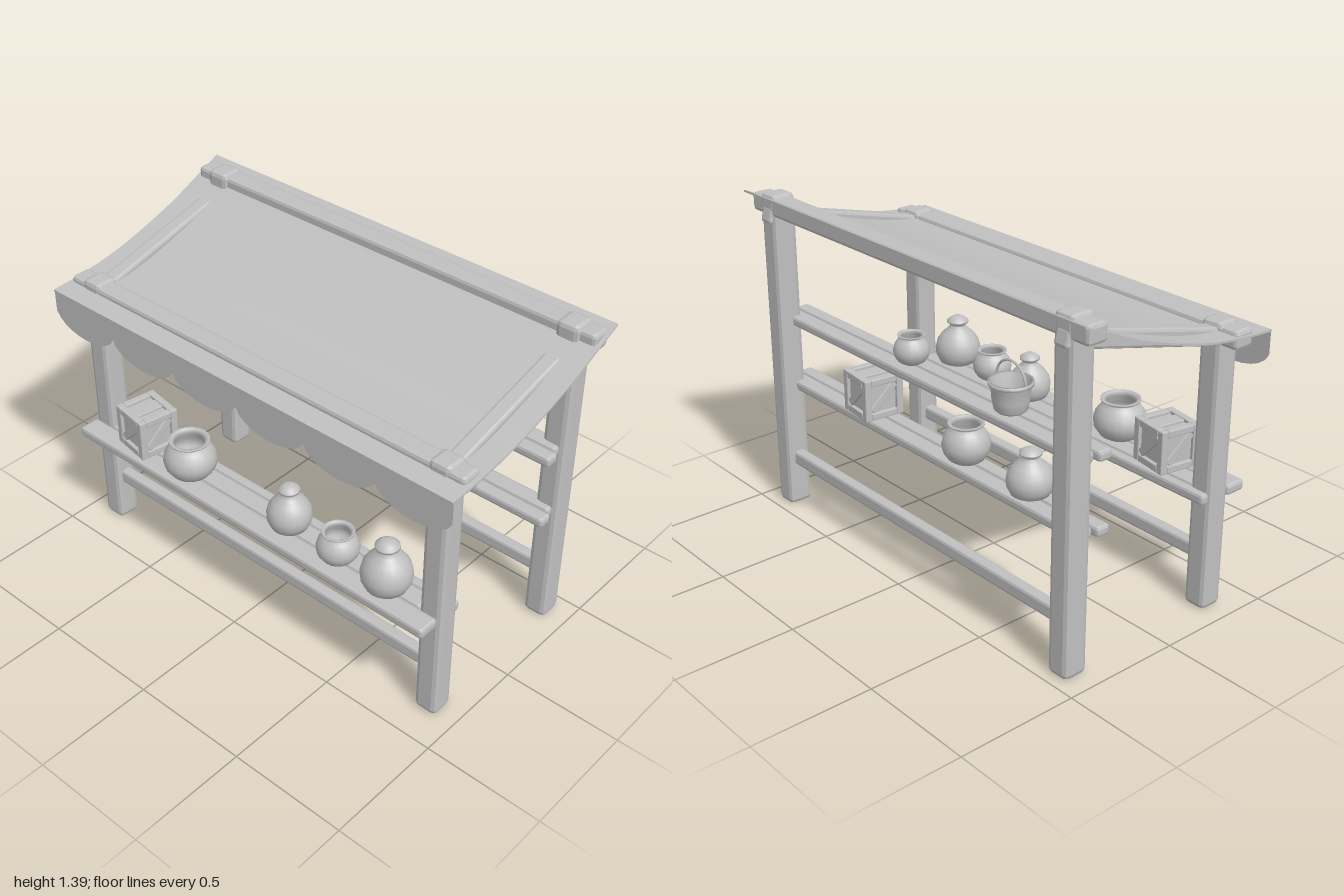
import * as THREE from 'three';
import { RoundedBoxGeometry } from 'three/addons/geometries/RoundedBoxGeometry.js';

const clay = new THREE.MeshStandardMaterial({ color: 0xc0c0c0 });
clay.name = 'plain grey';
const cloth = new THREE.MeshStandardMaterial({ color: 0xc0c0c0, side: THREE.DoubleSide });
cloth.name = 'grey cloth';

function add(parent, name, geometry, x = 0, y = 0, z = 0, material = clay) {
  const mesh = new THREE.Mesh(geometry, material);
  mesh.name = name;
  mesh.position.set(x, y, z);
  parent.add(mesh);
  return mesh;
}

// Timber with flat chamfered edges, given by its min/max extents
function timber(parent, name, [x0, x1], [y0, y1], [z0, z1], bevel = 0.012) {
  const geo = new RoundedBoxGeometry(x1 - x0, y1 - y0, z1 - z0, 1, bevel);
  geo.computeVertexNormals();
  return add(parent, name, geo, (x0 + x1) / 2, (y0 + y1) / 2, (z0 + z1) / 2);
}

// Turned vessel; the profile is given as fractions of radius and height
function turned(parent, name, profile, r, h, x, y, z) {
  const pts = profile.map(([a, b]) => new THREE.Vector2(a * r, b * h));
  return add(parent, name, new THREE.LatheGeometry(pts, 20), x, y, z, cloth);
}

const POT = [[0, 0], [0.5, 0], [0.74, 0.09], [0.94, 0.27], [1, 0.46], [0.92, 0.66], [0.74, 0.82],
  [0.6, 0.89], [0.62, 0.94], [0.75, 0.97], [0.75, 1], [0.62, 1], [0.53, 0.9], [0.8, 0.66], [0.85, 0.4], [0.5, 0.1], [0, 0.08]];
const JAR = [[0, 0], [0.55, 0], [0.82, 0.06], [0.97, 0.2], [1, 0.34], [0.92, 0.5], [0.7, 0.64], [0.44, 0.74],
  [0.34, 0.8], [0.34, 0.84], [0.47, 0.87], [0.47, 0.91], [0.33, 0.96], [0.18, 1], [0, 1]];
const BUCKET = [[0, 0], [0.62, 0], [0.74, 0.08], [0.83, 0.4], [0.88, 0.86], [1, 0.89], [1, 1], [0.86, 1], [0.76, 0.4], [0.62, 0.1], [0, 0.1]];

// Crate: recessed core, edge battens and a diagonal brace on each side
function crate(parent, name, s, x, y, z, turn) {
  const g = new THREE.Group();
  g.name = name;
  const h = s / 2, t = s * 0.17, e = h - t / 2;
  add(g, 'crateCore', new THREE.BoxGeometry(s * 0.84, s * 0.84, s * 0.84));
  for (const a of [-e, e]) for (const b of [-e, e]) {
    timber(g, 'crateUpright', [a - t / 2, a + t / 2], [-h, h], [b - t / 2, b + t / 2], 0.004);
    timber(g, 'crateRail', [-h + t, h - t], [a - t / 2, a + t / 2], [b - t / 2, b + t / 2], 0.004);
    timber(g, 'crateRail', [a - t / 2, a + t / 2], [b - t / 2, b + t / 2], [-h + t, h - t], 0.004);
  }
  for (let i = 0; i < 4; i++) {
    const side = new THREE.Group();
    side.name = 'crateSide';
    side.rotation.y = i * Math.PI / 2;
    const brace = timber(side, 'crateBrace', [-s * 0.42, s * 0.42], [-t * 0.55, t * 0.55], [h - t * 0.8, h - t * 0.15], 0.003);
    brace.rotation.z = Math.PI / 4;
    g.add(side);
  }
  timber(g, 'crateLidPlank', [-s * 0.16, s * 0.16], [h - t * 0.7, h - t * 0.1], [-h + t, h - t], 0.003);
  g.position.set(x, y + h, z);
  g.rotation.y = turn;
  parent.add(g);
}

export function createModel() {
  const stall = new THREE.Group();
  stall.name = 'marketStall';

  // Posts, with sloping rafters running through their tops
  for (const s of [-1, 1]) {
    const x = [s * 0.872 - 0.05, s * 0.872 + 0.05];
    timber(stall, 'frontPost', x, [0, 1.185], [0.265, 0.365], 0.02);
    timber(stall, 'backPost', x, [0, 1.395], [-0.455, -0.35], 0.02);
    const rafter = timber(stall, 'rafter', [s * 0.872 - 0.035, s * 0.872 + 0.035], [-0.035, 0.035], [-0.432, 0.432]);
    rafter.position.set(s * 0.872, 1.208, -0.043);
    rafter.rotation.x = Math.atan2(0.157, 0.63);
  }

  // Roof beams and low rails
  timber(stall, 'frontBeam', [-0.99, 0.98], [1.098, 1.172], [0.272, 0.362], 0.015);
  timber(stall, 'backBeam', [-0.99, 0.985], [1.305, 1.382], [-0.453, -0.365], 0.015);
  timber(stall, 'frontRail', [-0.84, 0.84], [0.19, 0.252], [0.29, 0.34]);
  timber(stall, 'backRail', [-0.84, 0.84], [0.19, 0.252], [-0.425, -0.375]);

  // Front shelf: one plank before the posts, one between, one behind
  timber(stall, 'frontShelfPlank', [-0.92, 0.91], [0.463, 0.507], [0.368, 0.46]);
  timber(stall, 'frontShelfPlank', [-0.825, 0.825], [0.463, 0.507], [0.283, 0.364]);
  timber(stall, 'frontShelfPlank', [-0.91, 0.91], [0.46, 0.505], [0.236, 0.279]);

  // Two back shelves
  for (const y of [0.533, 0.826]) {
    timber(stall, 'backShelfPlank', [-0.92, 0.92], [y, y + 0.042], [-0.315, -0.255]);
    timber(stall, 'backShelfPlank', [-0.9, 0.9], [y, y + 0.042], [-0.395, -0.322]);
  }

  // Sagging canopy: a thin profile swept along x
  const top = new THREE.SplineCurve([[0.45, 1.142], [0.3, 1.152], [0.15, 1.172], [0, 1.207],
    [-0.2, 1.27], [-0.36, 1.338], [-0.48, 1.39]].map(p => new THREE.Vector2(...p))).getPoints(24);
  const under = top.map(p => new THREE.Vector2(p.x, p.y - 0.008)).reverse();
  const canopy = new THREE.ExtrudeGeometry(new THREE.Shape([...top, ...under]), { depth: 2, bevelEnabled: false });
  canopy.rotateY(-Math.PI / 2);
  add(stall, 'canopy', canopy, 1, 0, 0, cloth);

  // Scalloped valance on the front edge
  const edge = new THREE.Shape();
  edge.moveTo(-1, 1.14);
  edge.lineTo(-1, 1.045);
  for (let i = 0; i < 6; i++) {
    const x = -1 + i / 3;
    edge.bezierCurveTo(x + 0.04, 0.947, x + 0.293, 0.947, x + 1 / 3, 1.045);
  }
  edge.lineTo(1, 1.14);
  add(stall, 'valance', new THREE.ShapeGeometry(edge, 10), 0, 0, 0.446, cloth);

  // Goods on the front shelf
  crate(stall, 'frontCrate', 0.18, -0.625, 0.507, 0.34, -0.17);
  turned(stall, 'widePot', POT, 0.11, 0.17, -0.35, 0.507, 0.365);
  turned(stall, 'jar', JAR, 0.09, 0.205, 0.17, 0.507, 0.345);
  turned(stall, 'smallPot', POT, 0.085, 0.135, 0.43, 0.507, 0.36);
  turned(stall, 'largeJar', JAR, 0.1, 0.223, 0.665, 0.507, 0.36);

  // Goods on the lower back shelf
  turned(stall, 'backJar', JAR, 0.09, 0.19, -0.58, 0.575, -0.325);
  turned(stall, 'backPot', POT, 0.095, 0.16, -0.22, 0.575, -0.325);
  crate(stall, 'backCrate', 0.175, 0.372, 0.575, -0.32, -0.1);

  // Goods on the upper back shelf
  turned(stall, 'bucket', BUCKET, 0.085, 0.118, -0.465, 0.868, -0.318);
  add(stall, 'bucketHandle', new THREE.TorusGeometry(0.078, 0.005, 6, 20, Math.PI), -0.465, 0.984, -0.318);
  turned(stall, 'upperPot', POT, 0.072, 0.118, 0.115, 0.868, -0.318);

  return stall;
}
